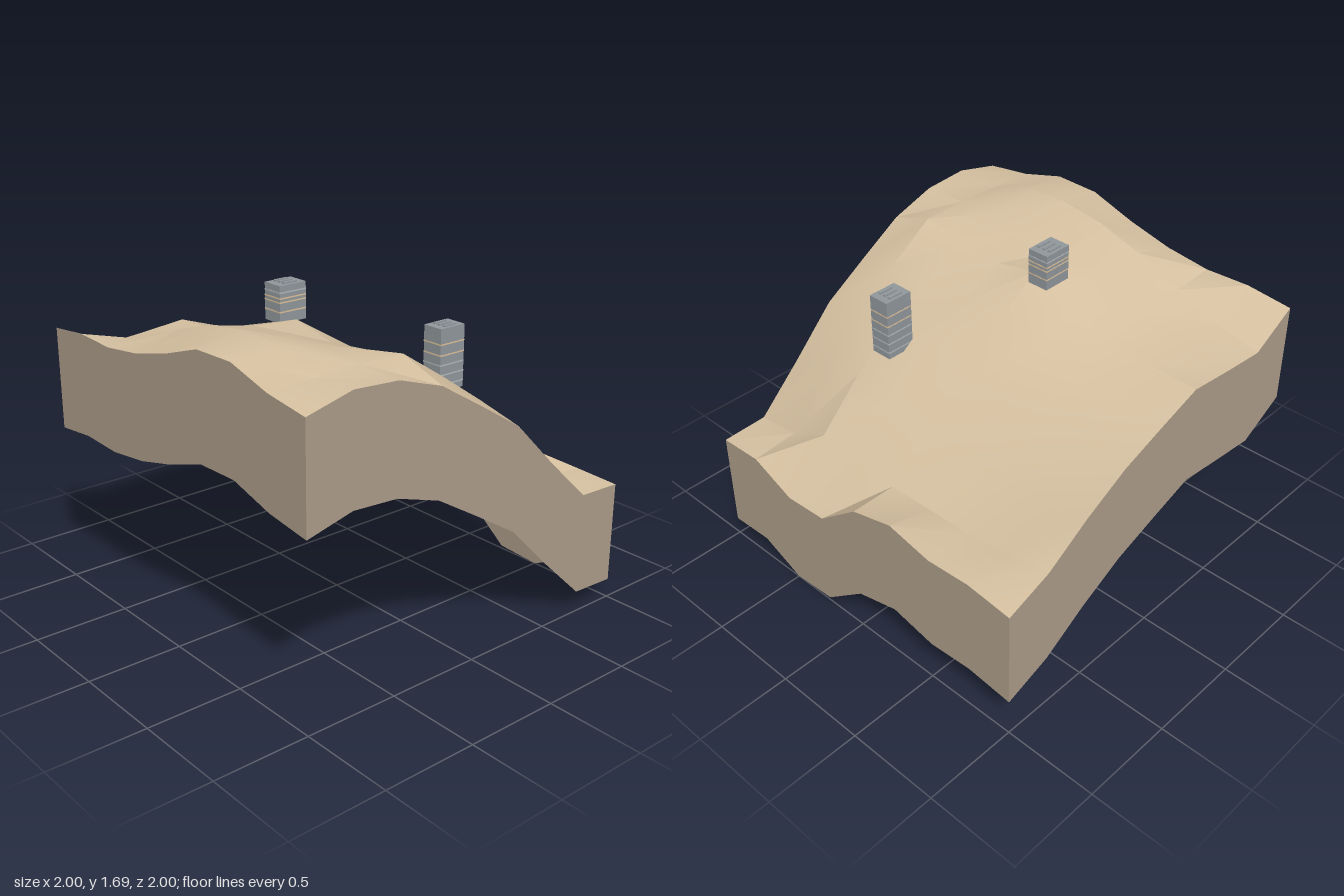
import * as THREE from 'three';
import { toCreasedNormals } from 'three/addons/utils/BufferGeometryUtils.js';

const mat = (name, color, side = THREE.FrontSide) => {
  const m = new THREE.MeshStandardMaterial({ color, side });
  m.name = name;
  return m;
};

const STEP = 0.25, THICK = 0.535;
// Ground heights, rows from back (z = -1) to front (z = 1), columns from x = -1 to 1
const HEIGHTS = [
  [0.74, 0.77, 0.755, 0.81, 0.745, 0.55, 0.535, 0.645, 0.635],
  [0.83, 0.79, 0.755, 0.75, 0.745, 0.755, 0.79, 0.67, 0.645],
  [0.985, 0.945, 0.915, 0.915, 0.945, 1.01, 1.035, 0.965, 0.88],
  [1.115, 1.105, 1.105, 1.125, 1.155, 1.19, 1.21, 1.19, 1.13],
  [1.205, 1.215, 1.245, 1.295, 1.35, 1.335, 1.355, 1.36, 1.285],
  [1.29, 1.3, 1.325, 1.41, 1.51, 1.455, 1.48, 1.52, 1.435],
  [1.265, 1.305, 1.37, 1.46, 1.525, 1.54, 1.55, 1.525, 1.515],
  [1.245, 1.305, 1.39, 1.5, 1.575, 1.61, 1.6, 1.515, 1.53],
  [1.385, 1.41, 1.4, 1.43, 1.49, 1.57, 1.575, 1.505, 1.47],
];

// Hilly surface: a plane lifted to the height grid, with sharp folds kept
function makeGround(material) {
  const geo = new THREE.PlaneGeometry(2, 2, 8, 8).rotateX(-Math.PI / 2);
  const pos = geo.attributes.position;
  for (let i = 0; i < pos.count; i++) pos.setY(i, HEIGHTS[Math.floor(i / 9)][i % 9]);
  const mesh = new THREE.Mesh(toCreasedNormals(geo, 0.38), material);
  mesh.name = 'hillSurface';
  return mesh;
}

// Wall of constant depth hanging from the rim, open underneath
function makeSkirt(material) {
  const rim = [];
  for (let i = 0; i < 8; i++) rim.push([i, 8]);
  for (let i = 8; i > 0; i--) rim.push([8, i]);
  for (let i = 8; i > 0; i--) rim.push([i, 0]);
  for (let i = 0; i < 8; i++) rim.push([0, i]);
  const point = ([c, r], drop) => [c * STEP - 1, HEIGHTS[r][c] - drop, r * STEP - 1];
  const verts = [];
  rim.forEach((p, i) => {
    const q = rim[(i + 1) % rim.length];
    const [a, b, c, d] = [point(p, 0), point(p, THICK), point(q, THICK), point(q, 0)];
    verts.push(...a, ...b, ...c, ...a, ...c, ...d);
  });
  const geo = new THREE.BufferGeometry();
  geo.setAttribute('position', new THREE.Float32BufferAttribute(verts, 3));
  geo.computeVertexNormals();
  const mesh = new THREE.Mesh(geo, material);
  mesh.name = 'earthSkirt';
  return mesh;
}

function addBox(parent, name, material, size, place) {
  const mesh = new THREE.Mesh(new THREE.BoxGeometry(...size), material);
  mesh.name = name;
  mesh.position.set(...place);
  parent.add(mesh);
}

// Tower block with window bands and three roof ridges
function makeTower(name, x, z, base, top, bands, mats) {
  const tower = new THREE.Group();
  tower.name = name;
  tower.position.set(x, base, z);
  const h = top - base, w = 0.117, d = 0.158;
  addBox(tower, 'towerBody', mats.wall, [w, h, d], [0, h / 2, 0]);
  for (const [y, lit] of bands) {
    addBox(tower, lit ? 'litWindowBand' : 'windowBand', lit ? mats.lit : mats.glass,
      [w + 0.002, 0.007, d + 0.002], [0, y - base, 0]);
  }
  for (const rx of [-0.033, 0, 0.033]) {
    addBox(tower, 'roofRidge', mats.wall, [0.014, 0.008, 0.08], [rx, h + 0.004, 0]);
  }
  return tower;
}

export function createModel() {
  const group = new THREE.Group();
  group.name = 'hillsideWithTowers';
  const ground = mat('sand', 0xd4bf9f, THREE.DoubleSide);
  const earth = mat('earth', 0xac9c88, THREE.DoubleSide);
  const mats = {
    wall: mat('concrete', 0x90979c),
    glass: mat('paleGlass', 0xb2b7ba),
    lit: mat('litGlass', 0xdcc09a),
  };

  group.add(makeGround(ground), makeSkirt(earth));
  group.add(makeTower('shortTower', -0.087, 0.25, 1.495, 1.68,
    [[1.645, false], [1.617, true], [1.597, true], [1.55, true]], mats));
  group.add(makeTower('tallTower', 0.413, -0.335, 1.15, 1.47,
    [[1.39, true], [1.335, true], [1.285, false], [1.235, false], [1.185, false]], mats));
  return group;
}
